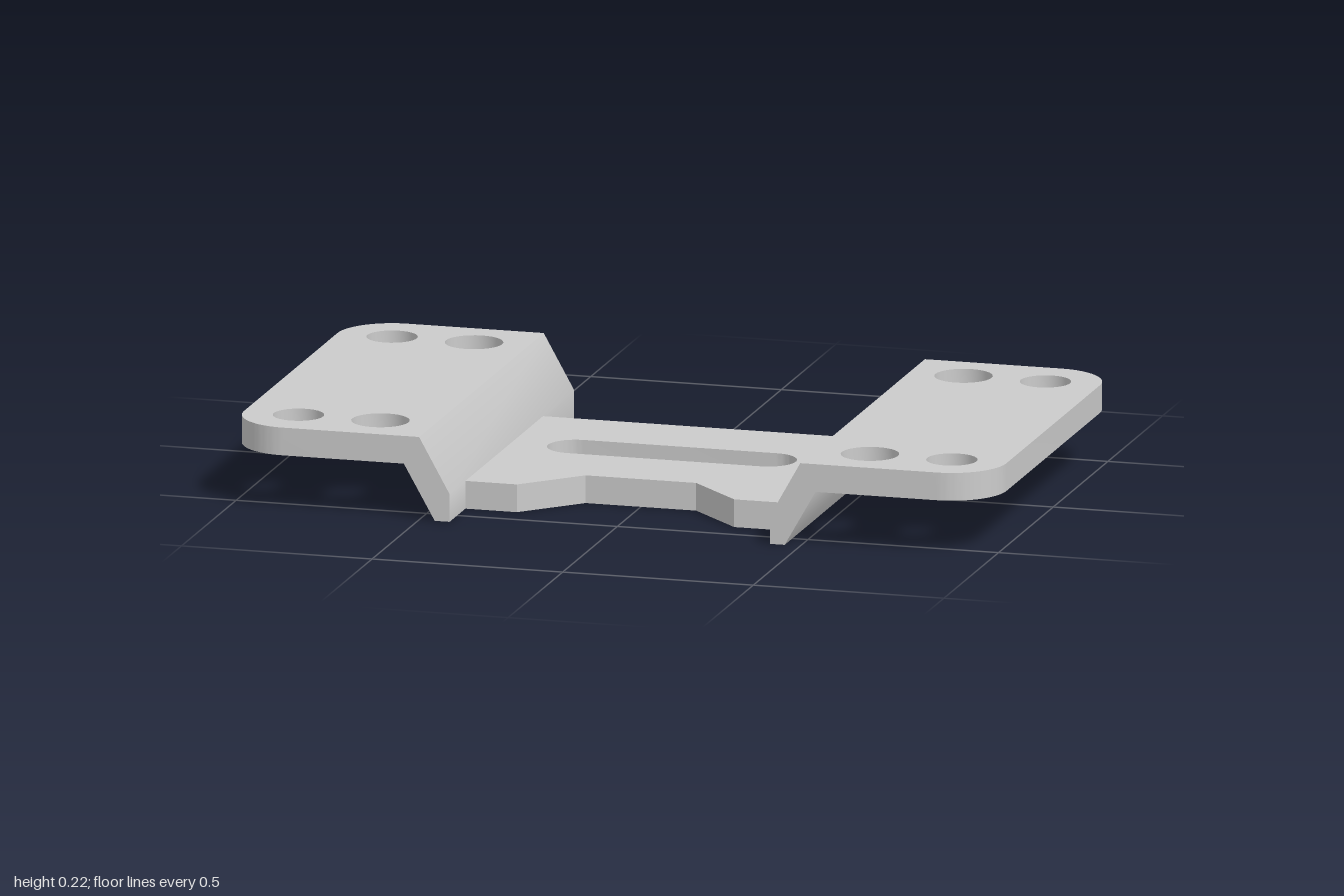
import * as THREE from 'three';
import { toCreasedNormals } from 'three/addons/utils/BufferGeometryUtils.js';

const T = 0.072;      // sheet thickness
const TOP = 0.215;    // top of the raised flanges
const HALF = 0.57;    // half depth of flanges and webs
const material = new THREE.MeshStandardMaterial({ color: 0xcccccc });

function extrude(shape, depth) {
  const geo = new THREE.ExtrudeGeometry(shape, { depth, bevelEnabled: false, curveSegments: 16 });
  return toCreasedNormals(geo, Math.PI / 6);
}

// Horizontal plate: shape (x, y) lies in world (x, z), with its top at the given height
function plate(name, shape, top) {
  const mesh = new THREE.Mesh(extrude(shape, T).rotateX(Math.PI / 2), material);
  mesh.position.y = top;
  mesh.name = name;
  return mesh;
}

function polygon(points) {
  return new THREE.Shape(points.map(([x, y]) => new THREE.Vector2(x, y)));
}

// Low centre plate with a front notch and a long rounded slot
function centrePlate() {
  const shape = polygon([
    [-0.42, -0.285], [0.42, -0.285], [0.42, 0.425], [0.285, 0.425],
    [0.145, 0.285], [-0.145, 0.285], [-0.285, 0.425], [-0.42, 0.425],
  ]);
  const r = 0.072, cx = 0.325 - r;
  const slot = new THREE.Path();
  slot.absarc(cx, 0, r, -Math.PI / 2, Math.PI / 2);
  slot.absarc(-cx, 0, r, Math.PI / 2, Math.PI * 1.5);
  slot.closePath();
  shape.holes.push(slot);
  return plate('centrePlate', shape, T);
}

// Raised flange with rounded outer corners and four screw holes
function flange(name, s) {
  const r = 0.143;
  const shape = new THREE.Shape();
  shape.moveTo(s * 0.54, -HALF);
  shape.lineTo(s * (1 - r), -HALF);
  shape.absarc(s * (1 - r), -HALF + r, r, -Math.PI / 2, s > 0 ? 0 : -Math.PI, s < 0);
  shape.absarc(s * (1 - r), HALF - r, r, s > 0 ? 0 : Math.PI, Math.PI / 2, s < 0);
  shape.lineTo(s * 0.54, HALF);
  shape.closePath();
  for (const [x, radius] of [[0.642, 0.074], [0.857, 0.065]]) {
    for (const z of [-0.428, 0.428]) {
      const hole = new THREE.Path();
      hole.absarc(s * x, z, radius, 0, Math.PI * 2);
      shape.holes.push(hole);
    }
  }
  return plate(name, shape, TOP);
}

// Sloping web joining the centre plate to a flange
function web(name, s) {
  const shape = polygon([
    [0.42, 0], [0.459, 0], [0.54, TOP - T], [0.54, TOP], [0.5, TOP], [0.42, T],
  ].map(([x, y]) => [s * x, y]));
  const mesh = new THREE.Mesh(extrude(shape, HALF * 2), material);
  mesh.position.z = -HALF;
  mesh.name = name;
  return mesh;
}

export function createModel() {
  const group = new THREE.Group();
  group.name = 'mountingBracket';
  group.add(centrePlate());
  for (const [side, s] of [['left', 1], ['right', -1]]) {
    group.add(web(side + 'Web', s), flange(side + 'Flange', s));
  }
  return group;
}
